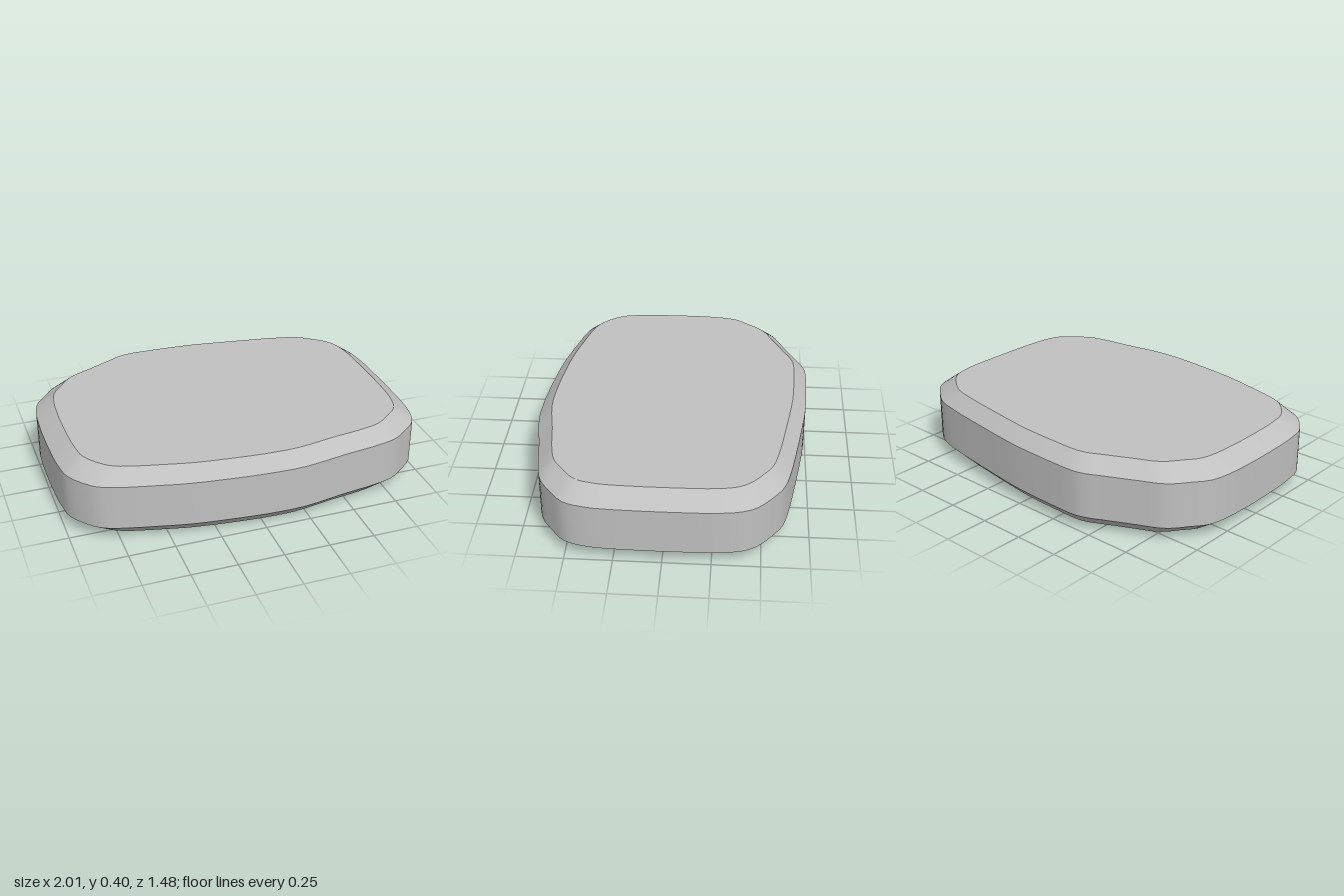
import * as THREE from 'three';

// Plan outline of the slab as [x, z], running back, +x side, front, -x side
const OUTLINE = [
  [-0.395, -0.742], [-0.235, -0.744], [0, -0.735], [0.14, -0.72], [0.41, -0.68], [0.62, -0.645],
  [0.755, -0.61], [0.83, -0.565], [0.935, -0.475], [0.975, -0.4], [0.995, -0.28], [1, -0.19],
  [1, 0.24], [0.985, 0.4], [0.95, 0.5], [0.86, 0.58], [0.78, 0.635], [0.67, 0.665],
  [0.46, 0.695], [0.22, 0.735], [0.03, 0.735], [-0.155, 0.72], [-0.395, 0.69], [-0.555, 0.655],
  [-0.8, 0.59], [-0.875, 0.545], [-0.97, 0.42], [-0.99, 0.32], [-1, 0.21], [-1, -0.19],
  [-0.97, -0.36], [-0.905, -0.45], [-0.86, -0.51], [-0.8, -0.56], [-0.715, -0.6], [-0.53, -0.69],
  [-0.465, -0.722],
];

function makeGeometry(positions, index) {
  const geometry = new THREE.BufferGeometry();
  geometry.setAttribute('position', new THREE.Float32BufferAttribute(positions, 3));
  geometry.setIndex(index);
  geometry.computeVertexNormals();
  return geometry;
}

export function createModel() {
  const group = new THREE.Group();
  group.name = 'roundedSlab';
  const grey = new THREE.MeshStandardMaterial({ color: 0xc0c0c0 });
  grey.name = 'grey';

  const curve = new THREE.CatmullRomCurve3(
    OUTLINE.map(([x, z]) => new THREE.Vector3(x, 0, z)), true, 'centripetal');
  const points = curve.getPoints(OUTLINE.length * 3).slice(0, -1);
  const n = points.length;
  const ring = (scale, y) => points.flatMap((p) => [p.x * scale, y, p.z * scale]);

  const add = (name, geometry) => {
    const mesh = new THREE.Mesh(geometry, grey);
    mesh.name = name;
    group.add(mesh);
  };

  // Closed band between two rings, smooth around and sharp at its borders
  const band = (name, s0, y0, s1, y1) => {
    const index = [];
    for (let i = 0; i < n; i++) {
      const j = (i + 1) % n;
      index.push(i, n + i, n + j, i, n + j, j);
    }
    add(name, makeGeometry([...ring(s0, y0), ...ring(s1, y1)], index));
  };

  // Flat cap as a fan around the centre
  const cap = (name, scale, y, up) => {
    const index = [];
    for (let i = 0; i < n; i++) {
      const j = (i + 1) % n;
      index.push(n, up ? j : i, up ? i : j);
    }
    add(name, makeGeometry([...ring(scale, y), 0, y, 0], index));
  };

  cap('bottomFace', 0.9, 0, false);
  band('lowerBevel', 0.9, 0, 1, 0.075);
  band('sideWall', 1, 0.075, 1, 0.325);
  band('upperBevel', 1, 0.325, 0.9, 0.4);
  cap('topFace', 0.9, 0.4, true);
  return group;
}
